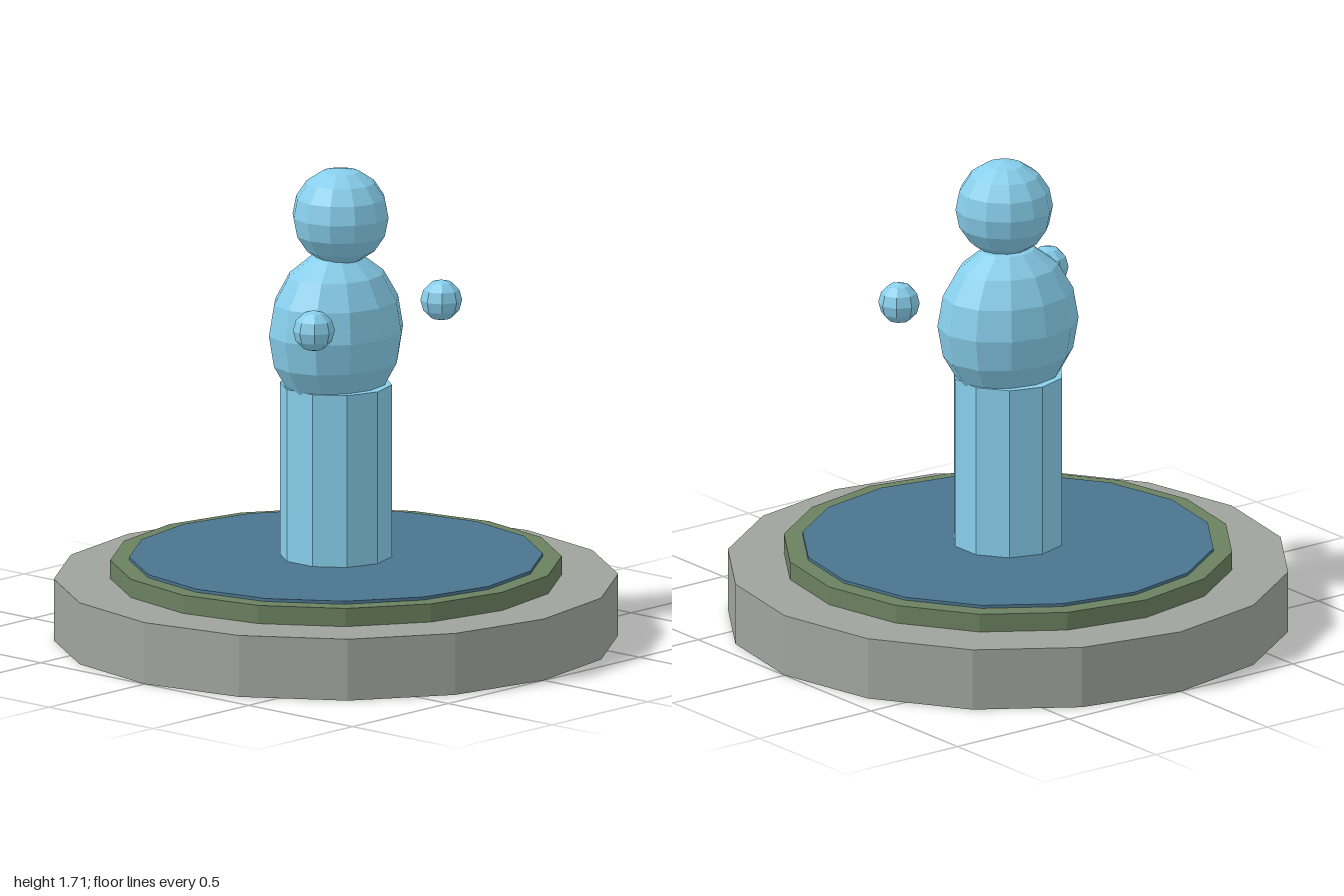
import * as THREE from 'three';

const mat = (color) => new THREE.MeshStandardMaterial({ color, flatShading: true });

export function createModel() {
  const model = new THREE.Group();
  const stone = mat(0xa0a39d);
  const moss = mat(0x6b8060);
  const water = mat(0x4a758f);
  const ice = mat(0x87ceeb);

  const add = (name, geometry, material, x, y, z) => {
    const mesh = new THREE.Mesh(geometry, material);
    mesh.name = name;
    mesh.position.set(x, y, z);
    model.add(mesh);
    return mesh;
  };

  // Upright prism between two heights
  const drum = (name, radius, bottom, top, sides, material) =>
    add(name, new THREE.CylinderGeometry(radius, radius, top - bottom, sides), material, 0, (bottom + top) / 2, 0);

  // Stepped round base with a thin pool on top
  drum('base', 1, 0, 0.223, 16, stone);
  drum('mossyStep', 0.8, 0.223, 0.289, 16, moss);
  drum('pool', 0.733, 0.28, 0.3, 16, water);

  // Figure: column, flattened torso, head set slightly forward
  drum('column', 0.2, 0.29, 0.924, 10, ice);
  const torso = add('torso', new THREE.SphereGeometry(1, 12, 8), ice, 0, 1.115, 0);
  torso.scale.set(0.265, 0.293, 0.223);
  add('head', new THREE.SphereGeometry(0.174, 12, 8), ice, 0, 1.536, 0.022);

  // Floating hands on both sides
  for (const side of [1, -1]) {
    add(side > 0 ? 'leftHand' : 'rightHand', new THREE.SphereGeometry(0.074, 8, 6), ice, side * 0.333, 1.202, 0.2);
  }

  return model;
}
